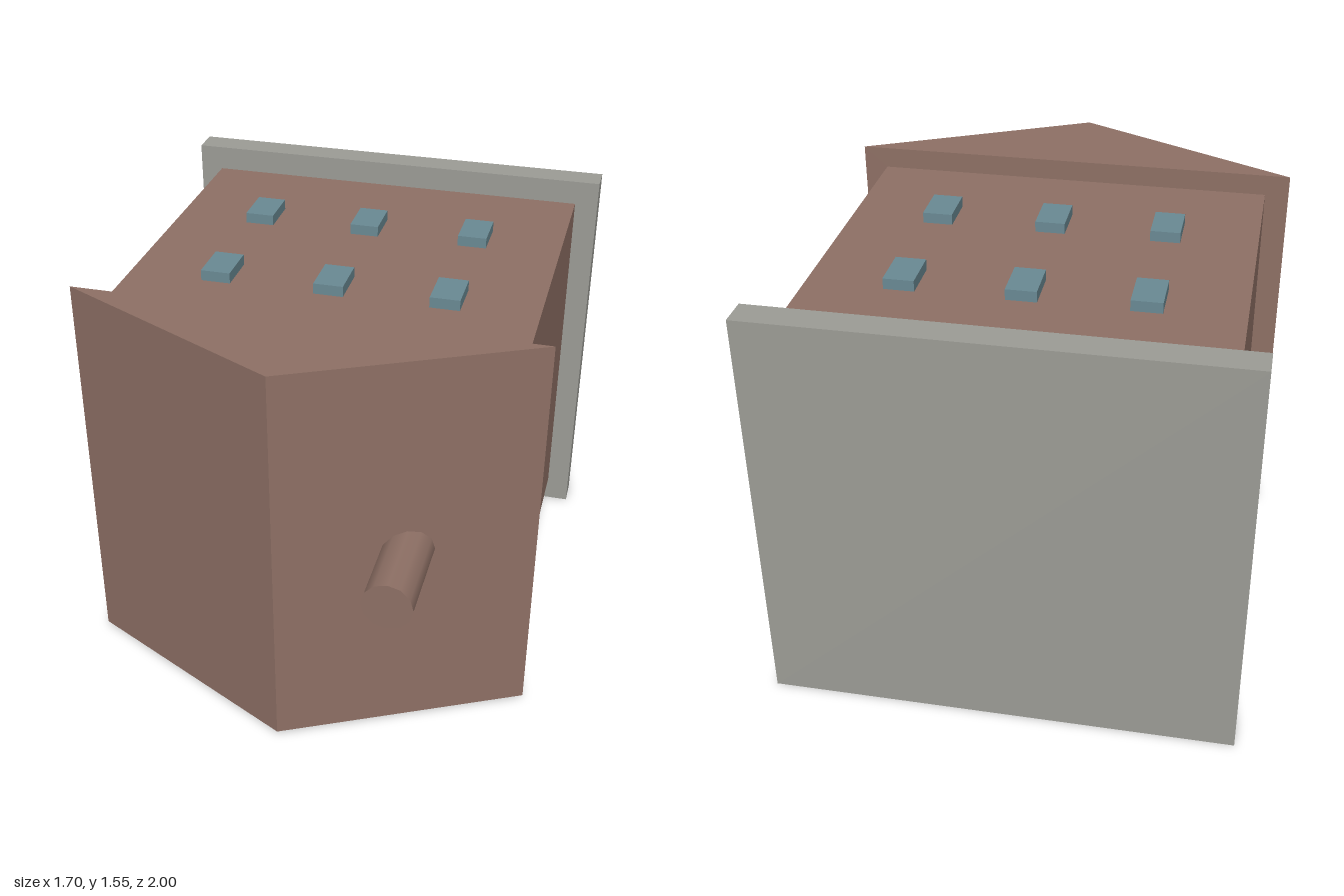
import * as THREE from 'three';

export function createModel() {
  const house = new THREE.Group();
  house.name = 'house';

  const material = (name, color) => {
    const m = new THREE.MeshStandardMaterial({ color });
    m.name = name;
    return m;
  };
  const brown = material('brown', 0x8e7065);
  const grey = material('grey', 0x9c9c96);
  const blue = material('blue', 0x6a8a94);

  const add = (name, geometry, mat, x, y, z) => {
    const mesh = new THREE.Mesh(geometry, mat);
    mesh.name = name;
    mesh.position.set(x, y, z);
    house.add(mesh);
    return mesh;
  };
  const midY = 0.78;

  // Walls and the foundation slab behind them
  add('walls', new THREE.BoxGeometry(1.52, 1.36, 1.37), brown, 0, midY, -0.205);
  add('foundation', new THREE.BoxGeometry(1.7, 1.555, 0.11), grey, 0, 0.7775, -0.945);

  // Gabled roof: a triangle in x and z, extruded along y
  const gable = new THREE.Shape([
    new THREE.Vector2(-0.85, -0.48),
    new THREE.Vector2(0, -0.905),
    new THREE.Vector2(0.85, -0.48),
  ]);
  const roof = new THREE.ExtrudeGeometry(gable, { depth: 1.52, bevelEnabled: false });
  roof.rotateX(-Math.PI / 2);
  add('roof', roof, brown, 0, 0.02, 0);

  // Chimney standing out of one roof slope
  const chimney = new THREE.CylinderGeometry(0.09, 0.09, 0.48, 12);
  chimney.rotateX(Math.PI / 2);
  add('chimney', chimney, brown, 0.425, midY, 0.76);

  // Two storeys of three windows on the upper and lower walls
  const windowBox = new THREE.BoxGeometry(0.11, 0.08, 0.166);
  for (const y of [1.46, 0.1])
    for (const z of [-0.455, 0.08])
      for (const x of [-0.425, 0, 0.425]) add('window', windowBox, blue, x, y, z);

  // Door on the lower wall, reaching into the foundation
  add('door', new THREE.BoxGeometry(0.25, 0.1, 0.38), brown, 0, 0.1, -0.79);

  return house;
}
